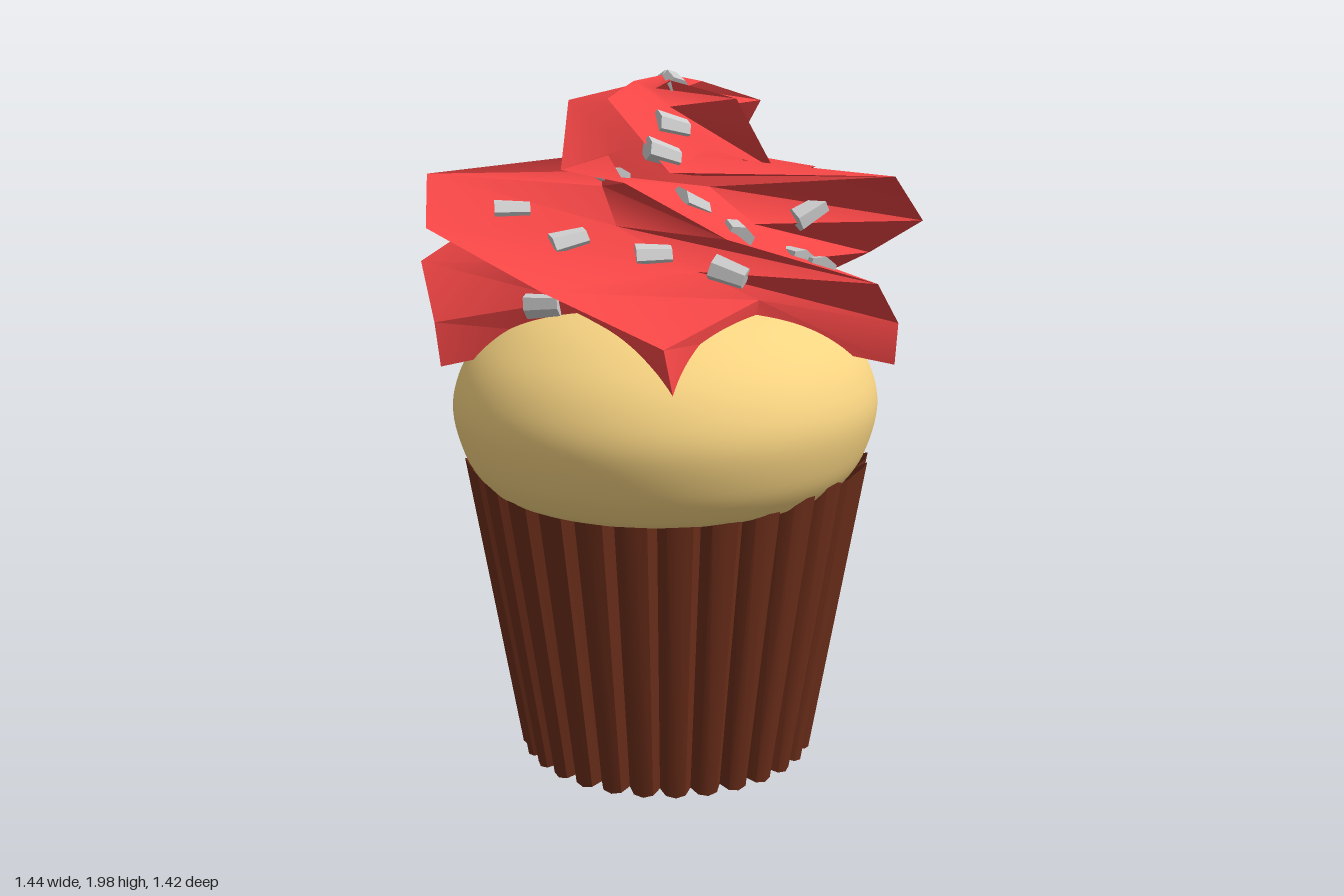
import * as THREE from 'three';
import { mergeVertices, toCreasedNormals } from 'three/addons/utils/BufferGeometryUtils.js';

const mat = (color) => new THREE.MeshStandardMaterial({ color, side: THREE.DoubleSide });
const V = (x, y, z) => new THREE.Vector3(x, y, z);
// Angles in degrees, 0 = front (+z), growing towards +x.
const polar = (deg, r, y) => {
  const a = THREE.MathUtils.degToRad(deg);
  return V(Math.sin(a) * r, y, Math.cos(a) * r);
};

function named(name, geometry, material) {
  const mesh = new THREE.Mesh(geometry, material);
  mesh.name = name;
  return mesh;
}

// Skin closed rings of points, listed from the top ring down.
function loft(rings, crease) {
  const n = rings[0].length, index = [];
  for (let k = 0; k < rings.length - 1; k++) {
    for (let i = 0; i < n; i++) {
      const a = k * n + i, b = k * n + (i + 1) % n;
      index.push(a, a + n, b + n, a, b + n, b);
    }
  }
  const geo = new THREE.BufferGeometry().setFromPoints(rings.flat());
  geo.setIndex(index);
  return toCreasedNormals(geo, crease);
}

// Pleated paper cup with a toothed rim and a radially creased floor.
function makeWrapper() {
  const pleats = 30, step = 360 / pleats;
  const ring = (r, y, notch) => {
    const pts = [];
    for (let i = 0; i < pleats; i++) {
      [[-0.5, 0.93, notch], [-0.3, 0.985, notch * 0.3], [0, 1, 0], [0.3, 0.985, notch * 0.3]]
        .forEach(([t, s, drop]) => pts.push(polar((i + t) * step, r * s, y - drop)));
    }
    return pts;
  };
  return loft([ring(0.59, 0.89, 0.035), ring(0.44, 0, -0.015), ring(0.0001, 0.01, 0)], 0.7);
}

// Oval sponge top, overhanging the cup front and back, with a small dent behind.
function makeCake() {
  const profile = new THREE.SplineCurve([
    [0.8, 0.82], [0.87, 0.845], [0.95, 0.92], [1, 1.04], [0.97, 1.14], [0.88, 1.23],
    [0.72, 1.31], [0.5, 1.36], [0.25, 1.38], [0, 1.385],
  ].map(([r, y]) => new THREE.Vector2(r, y))).getPoints(50);
  profile.unshift(new THREE.Vector2(0, 0.82));
  profile[profile.length - 1].x = 0;
  let geo = new THREE.LatheGeometry(profile, 96);
  geo.scale(0.61, 1, 0.71);
  const p = geo.attributes.position;
  for (let i = 0; i < p.count; i++) {
    if (p.getZ(i) > -0.4) continue;
    const dx = (p.getX(i) + 0.05) / 0.07, dy = (p.getY(i) - 0.98) / 0.03;
    p.setZ(i, p.getZ(i) + 0.07 * Math.exp(-dx * dx - dy * dy));
  }
  geo.deleteAttribute('normal');
  geo.deleteAttribute('uv');
  geo = mergeVertices(geo);
  geo.computeVertexNormals();
  return geo;
}

// Five twisted, sharp blades: each row gives the blade's rim and the valley beside it.
function makeFrosting() {
  const rows = [ // rim angle, radius, height, valley radius, valley height
    [-150, 0.0001, 1.97, 0.0001, 1.97],
    [-130, 0.1, 1.95, 0.06, 1.93],
    [-96, 0.29, 1.9, 0.13, 1.88],
    [-62, 0.31, 1.71, 0.19, 1.77],
    [0, 0.67, 1.7, 0.25, 1.67],
    [20, 0.72, 1.57, 0.32, 1.57],
    [56, 0.725, 1.44, 0.4, 1.46],
    [80, 0.67, 1.3, 0.42, 1.38],
    [82, 0.66, 1.18, 0.38, 1.28],
  ];
  return loft(rows.map(([a, r, y, vr, vy]) => {
    const pts = [];
    for (let i = 0; i < 5; i++) {
      pts.push(polar(a + i * 72, r, y), polar(a + i * 72 + 36, vr, vy));
    }
    return pts;
  }), 1);
}

// Drop sprinkles onto the frosting along rays from above, the front and the side.
function makeSprinkles(frosting) {
  const group = new THREE.Group();
  group.name = 'sprinkles';
  const caster = new THREE.Raycaster();
  const geo = new THREE.CylinderGeometry(0.03, 0.037, 0.095, 6);
  const material = new THREE.MeshStandardMaterial({ color: 0xcccccc, flatShading: true });
  const place = (origin, dir) => {
    caster.set(origin, dir);
    const hit = caster.intersectObject(frosting)[0];
    if (!hit) return;
    const n = hit.face.normal.clone();
    if (n.dot(dir) > 0) n.negate();
    const axis = V(0, 1, 0).cross(n);
    if (axis.lengthSq() < 1e-4) axis.set(1, 0, 0);
    axis.normalize().applyAxisAngle(n, 0.5 * Math.sin(group.children.length * 2.4));
    const chip = named('sprinkle', geo, material);
    chip.position.copy(hit.point);
    chip.quaternion.setFromRotationMatrix(
      new THREE.Matrix4().makeBasis(axis.clone().cross(n), axis, n));
    chip.scale.z = 0.7;
    group.add(chip);
  };
  [[-0.37, 0.31], [-0.2, 0.38], [0.13, 0.42], [0.25, 0.47], [0.45, 0.28], [0.04, 0.17],
    [0.03, 0.04], [-0.02, -0.05], [0.07, -0.16], [-0.14, -0.29], [-0.27, -0.24],
    [-0.34, -0.36], [-0.43, -0.08], [-0.5, -0.02], [-0.2, -0.09], [0.39, -0.21], [-0.12, 0.2],
  ].forEach(([x, z]) => place(V(x, 3, z), V(0, -1, 0)));
  [[0.02, 1.5], [0.22, 1.46], [0.41, 1.6], [0.03, 1.76], [-0.28, 1.36],
  ].forEach(([x, y]) => place(V(x, y, 3), V(0, 0, -1)));
  [[0.12, 1.48], [-0.14, 1.65], [-0.25, 1.32], [-0.38, 1.28],
  ].forEach(([z, y]) => place(V(3, y, z), V(-1, 0, 0)));
  return group;
}

export function createModel() {
  const model = new THREE.Group();
  model.name = 'cupcake';
  const frosting = named('frosting', makeFrosting(), mat(0xf64646));
  model.add(
    named('wrapper', makeWrapper(), mat(0x6c2e1a)),
    named('cake', makeCake(), mat(0xf8d482)),
    frosting,
    makeSprinkles(frosting),
  );

  // Two flat dark drops on the back of the cake.
  const black = mat(0x080808);
  [[-0.37, 1.01, -0.55, 0.077], [-0.195, 1.135, -0.65, 0.042]].forEach(([x, y, z, r]) => {
    const drop = named('darkDrop', new THREE.SphereGeometry(r, 24, 16), black);
    drop.position.set(x, y, z);
    drop.lookAt(x * 2, y, z * 2);
    drop.scale.z = 0.4;
    model.add(drop);
  });
  return model;
}
